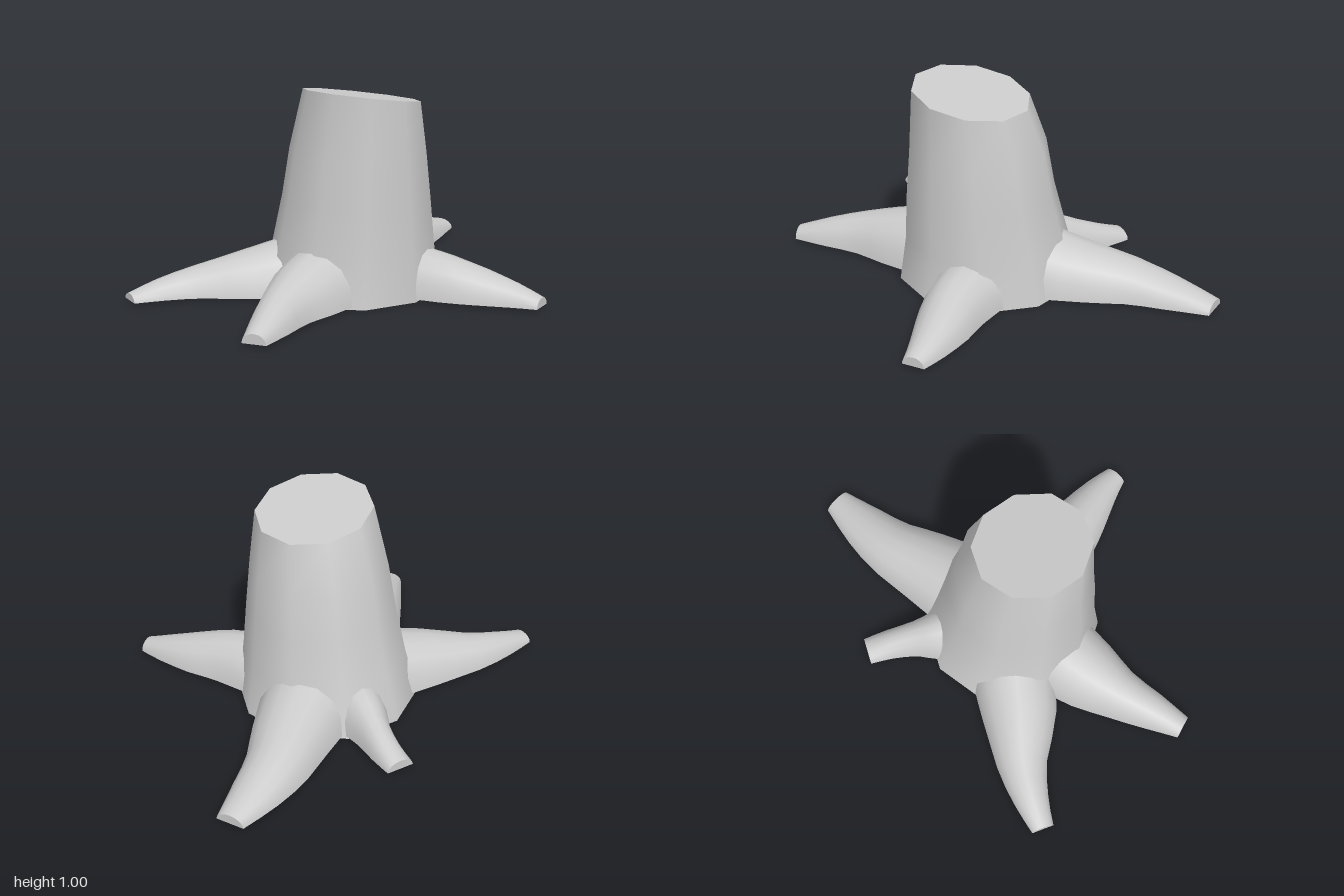
import * as THREE from 'three';
import { toCreasedNormals } from 'three/addons/utils/BufferGeometryUtils.js';

const material = new THREE.MeshStandardMaterial({ color: 0xcccccc });

// Skins a list of equal-sized closed rings and caps both ends.
function loft(name, rings) {
  const n = rings[0].length;
  const points = rings.flat();
  const index = [];
  for (let i = 0; i < rings.length - 1; i++) {
    for (let j = 0; j < n; j++) {
      const a = i * n + j, b = i * n + (j + 1) % n;
      index.push(a, b, b + n, a, b + n, a + n);
    }
  }
  const last = (rings.length - 1) * n;
  for (let j = 1; j < n - 1; j++) {
    index.push(0, j + 1, j);
    index.push(last, last + j, last + j + 1);
  }
  const geometry = new THREE.BufferGeometry().setFromPoints(points);
  geometry.setIndex(index);
  const mesh = new THREE.Mesh(toCreasedNormals(geometry, 0.85), material);
  mesh.name = name;
  return mesh;
}

// Ten-sided leaning trunk with a slanted cut on top.
function createTrunk() {
  const sides = 10;
  // height, centre x, centre z, radius
  const levels = [
    [0, 0.07, -0.025, 0.44],
    [0.22, 0.075, -0.005, 0.395],
    [0.45, 0.075, 0.025, 0.36],
    [0.68, 0.075, 0.04, 0.33],
    [0.95, 0.075, 0.08, 0.28],
  ];
  const rings = levels.map(([y, cx, cz, r], level) => {
    const ring = [];
    for (let j = 0; j < sides; j++) {
      const a = (j / sides) * Math.PI * 2;
      const dx = r * Math.cos(a), dz = -r * Math.sin(a);
      const slant = level === levels.length - 1 ? -0.155 * dx + 0.07 * dz : 0;
      ring.push(new THREE.Vector3(cx + dx, y + slant, cz + dz));
    }
    return ring;
  });
  return loft('trunk', rings);
}

// Tapering root with a domed section and a flat underside.
function createRoot(name, stations) {
  const path = new THREE.CatmullRomCurve3(stations.map(([x, z]) => new THREE.Vector3(x, 0.012, z)));
  const size = new THREE.CatmullRomCurve3(stations.map(([, , w, h]) => new THREE.Vector3(w, h, 0)));
  const up = new THREE.Vector3(0, 1, 0);
  const steps = 8, arc = 8, rings = [];
  for (let i = 0; i <= steps; i++) {
    const t = i / steps;
    const centre = path.getPoint(t), s = size.getPoint(t);
    const side = new THREE.Vector3().crossVectors(up, path.getTangent(t)).normalize();
    const ring = [];
    for (let j = 0; j <= arc; j++) {
      const a = (j / arc) * Math.PI;
      ring.push(centre.clone()
        .addScaledVector(side, s.x * Math.cos(a))
        .addScaledVector(up, s.y * Math.sin(a)));
    }
    rings.push(ring);
  }
  return loft(name, rings);
}

// Each station: x, z, half width, height
const roots = {
  backLeftRoot: [[0.3, -0.2, 0.23, 0.26], [0.48, -0.36, 0.19, 0.2], [0.62, -0.49, 0.155, 0.155],
    [0.79, -0.6, 0.12, 0.1], [0.97, -0.7, 0.07, 0.045]],
  rightRoot: [[-0.22, -0.1, 0.21, 0.24], [-0.42, -0.135, 0.185, 0.19], [-0.66, -0.195, 0.125, 0.125],
    [-0.85, -0.205, 0.085, 0.08], [-1, -0.195, 0.055, 0.035]],
  frontRightRoot: [[-0.2, 0.17, 0.21, 0.25], [-0.34, 0.27, 0.18, 0.21], [-0.47, 0.375, 0.13, 0.165],
    [-0.6, 0.505, 0.095, 0.11], [-0.72, 0.622, 0.058, 0.048]],
  frontLeftRoot: [[0.3, 0.22, 0.18, 0.21], [0.4, 0.37, 0.155, 0.185], [0.51, 0.5, 0.13, 0.14],
    [0.61, 0.63, 0.09, 0.09], [0.68, 0.738, 0.055, 0.045]],
  backRoot: [[0.09, -0.3, 0.14, 0.22], [0.1, -0.42, 0.12, 0.19], [0.115, -0.52, 0.088, 0.145],
    [0.128, -0.65, 0.075, 0.09], [0.128, -0.768, 0.068, 0.045]],
};

export function createModel() {
  const stump = new THREE.Group();
  stump.name = 'treeStump';
  stump.add(createTrunk());
  for (const [name, stations] of Object.entries(roots)) stump.add(createRoot(name, stations));
  return stump;
}
